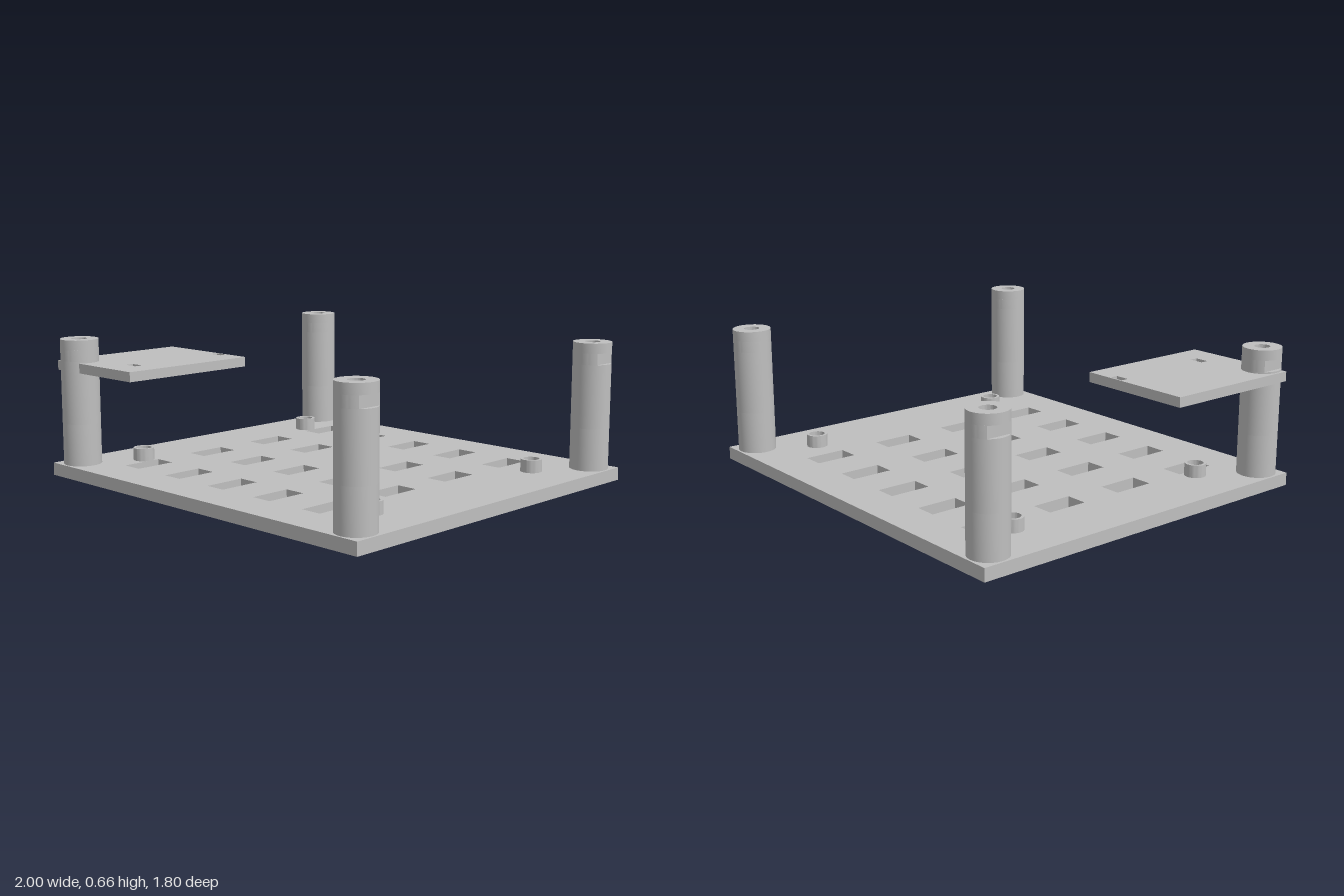
import * as THREE from 'three';
import { toCreasedNormals } from 'three/addons/utils/BufferGeometryUtils.js';

const grey = new THREE.MeshStandardMaterial({ color: 0xbfbfbf });
grey.name = 'grey';

// Axis-aligned rectangle in plan, given in x and z
function rect(Kind, x0, x1, z0, z1) {
  return new Kind([[x0, -z1], [x1, -z1], [x1, -z0], [x0, -z0]].map(([x, y]) => new THREE.Vector2(x, y)));
}

function circle(Kind, r, x = 0, z = 0) {
  const c = new Kind();
  c.absarc(x, -z, r, 0, Math.PI * 2, false);
  return c;
}

// Extrude a plan shape upward from y0 to y1
function slab(name, shape, y0, y1) {
  const g = new THREE.ExtrudeGeometry(shape, { depth: y1 - y0, bevelEnabled: false, curveSegments: 24 });
  g.rotateX(-Math.PI / 2);
  g.translate(0, y0, 0);
  const mesh = new THREE.Mesh(toCreasedNormals(g, 0.6), grey);
  mesh.name = name;
  return mesh;
}

const POST_R = 0.09, BORE_R = 0.036, NOTCH_X = 0.068;

function bored(shape) {
  shape.holes.push(circle(THREE.Path, BORE_R));
  return shape;
}

// Corner post: blind bore from the top and a flat notch facing +x
function makePost() {
  const post = new THREE.Group();
  const a = Math.acos(NOTCH_X / POST_R);
  const notched = new THREE.Shape();
  notched.absarc(0, 0, POST_R, a, Math.PI * 2 - a, false);
  notched.closePath();
  post.add(
    slab('postBase', circle(THREE.Shape, POST_R), 0.06, 0.26),
    slab('postShaft', bored(circle(THREE.Shape, POST_R)), 0.26, 0.56),
    slab('postNotch', bored(notched), 0.56, 0.613),
    slab('postHead', bored(circle(THREE.Shape, POST_R)), 0.613, 0.66)
  );
  return post;
}

export function createModel() {
  const model = new THREE.Group();
  model.name = 'mountingTray';

  // Base plate with a grid of vents and four screw holes
  const base = rect(THREE.Shape, -1, 1, -0.9, 0.9);
  for (let i = 0; i < 5; i++) {
    for (let j = 0; j < 4; j++) {
      const x = -0.65 + i * 0.3, z = -0.6 + j * 0.4;
      base.holes.push(rect(THREE.Path, x - 0.052, x + 0.052, z - 0.1, z + 0.1));
    }
  }

  for (const sx of [-1, 1]) {
    for (const sz of [-1, 1]) {
      const side = (sz > 0 ? 'front' : 'back') + (sx > 0 ? 'Left' : 'Right');
      // Corner post with its notch turned outward
      const post = makePost();
      post.name = side + 'Post';
      post.position.set(sx * 0.9, 0, sz * 0.8);
      if (sx < 0) post.rotation.y = Math.PI;
      model.add(post);

      // Hollow standoff over a through hole
      base.holes.push(circle(THREE.Path, 0.037, sx * 0.75, sz * 0.55));
      const ring = circle(THREE.Shape, 0.05);
      ring.holes.push(circle(THREE.Path, 0.037));
      const standoff = slab(side + 'Standoff', ring, 0.06, 0.12);
      standoff.position.set(sx * 0.75, 0, sz * 0.55);
      model.add(standoff);
    }
  }
  model.add(slab('basePlate', base, 0, 0.06));

  // Small shelf carried by one post, with two tie slots
  const shelf = rect(THREE.Shape, -1, -0.443, 0.16, 0.855);
  shelf.holes.push(rect(THREE.Path, -0.641, -0.573, 0.168, 0.206));
  shelf.holes.push(rect(THREE.Path, -0.641, -0.573, 0.685, 0.725));
  model.add(slab('shelf', shelf, 0.506, 0.552));

  return model;
}
